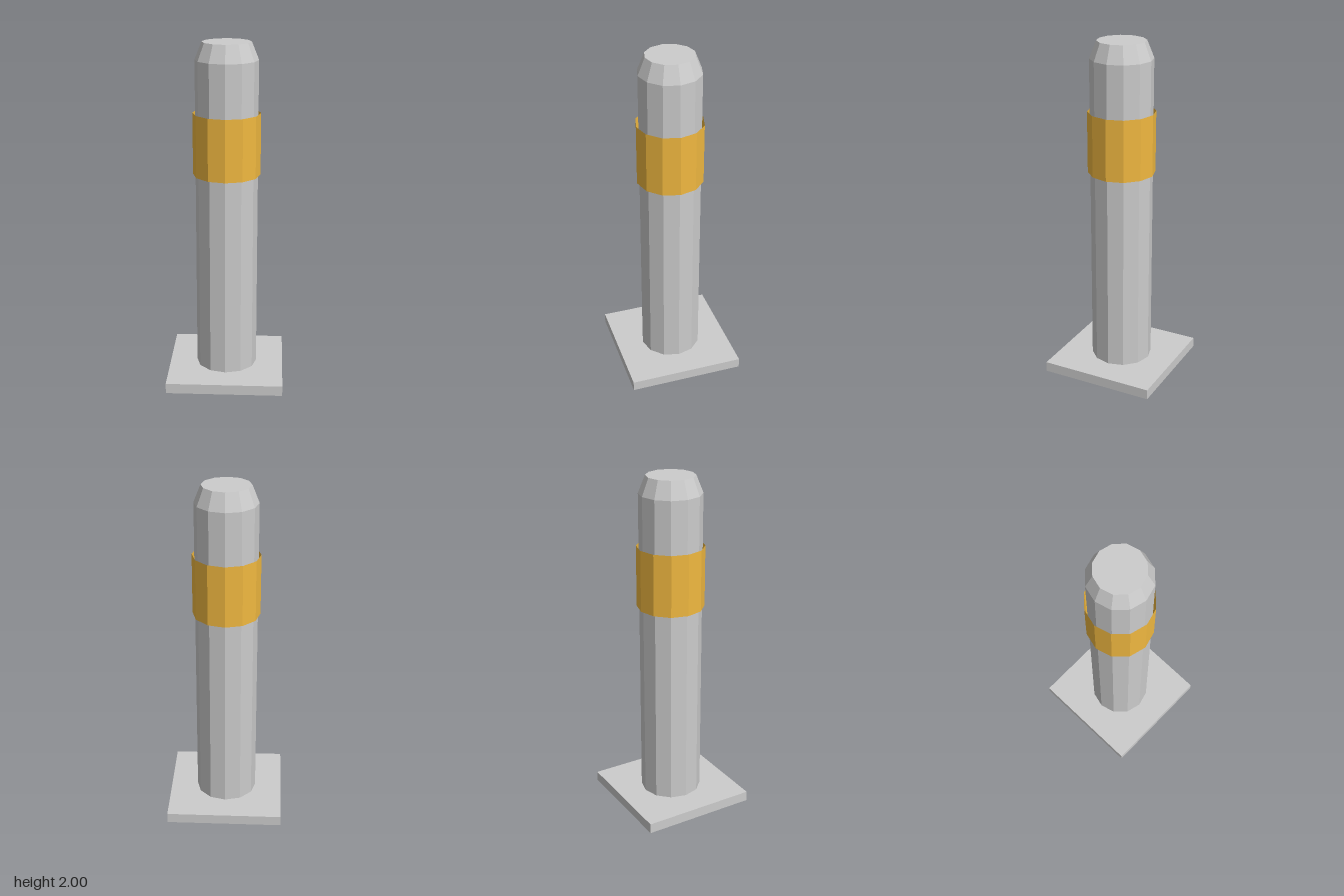
import * as THREE from 'three';

const SIDES = 12;

export function createModel() {
  const model = new THREE.Group();
  const grey = new THREE.MeshStandardMaterial({ color: 0xcccccc, flatShading: true });
  const amber = new THREE.MeshStandardMaterial({ color: 0xf0b840, flatShading: true, side: THREE.DoubleSide });

  // Adds a mesh whose underside sits at the given height
  function add(name, geometry, material, bottom, height) {
    const mesh = new THREE.Mesh(geometry, material);
    mesh.name = name;
    mesh.position.y = bottom + height / 2;
    model.add(mesh);
  }
  const tube = (top, bottom, height, open) =>
    new THREE.CylinderGeometry(top, bottom, height, SIDES, 1, open);

  // Square ground plate
  add('basePlate', new THREE.BoxGeometry(0.68, 0.06, 0.68), grey, 0, 0.06);

  // Post shaft with a tapered cap
  add('post', tube(0.18, 0.18, 1.84, false), grey, 0.06, 1.84);
  add('taperedCap', tube(0.14, 0.18, 0.1, false), grey, 1.9, 0.1);

  // Open sleeve standing slightly off the shaft
  add('colouredBand', tube(0.195, 0.195, 0.36, true), amber, 1.24, 0.36);

  return model;
}
